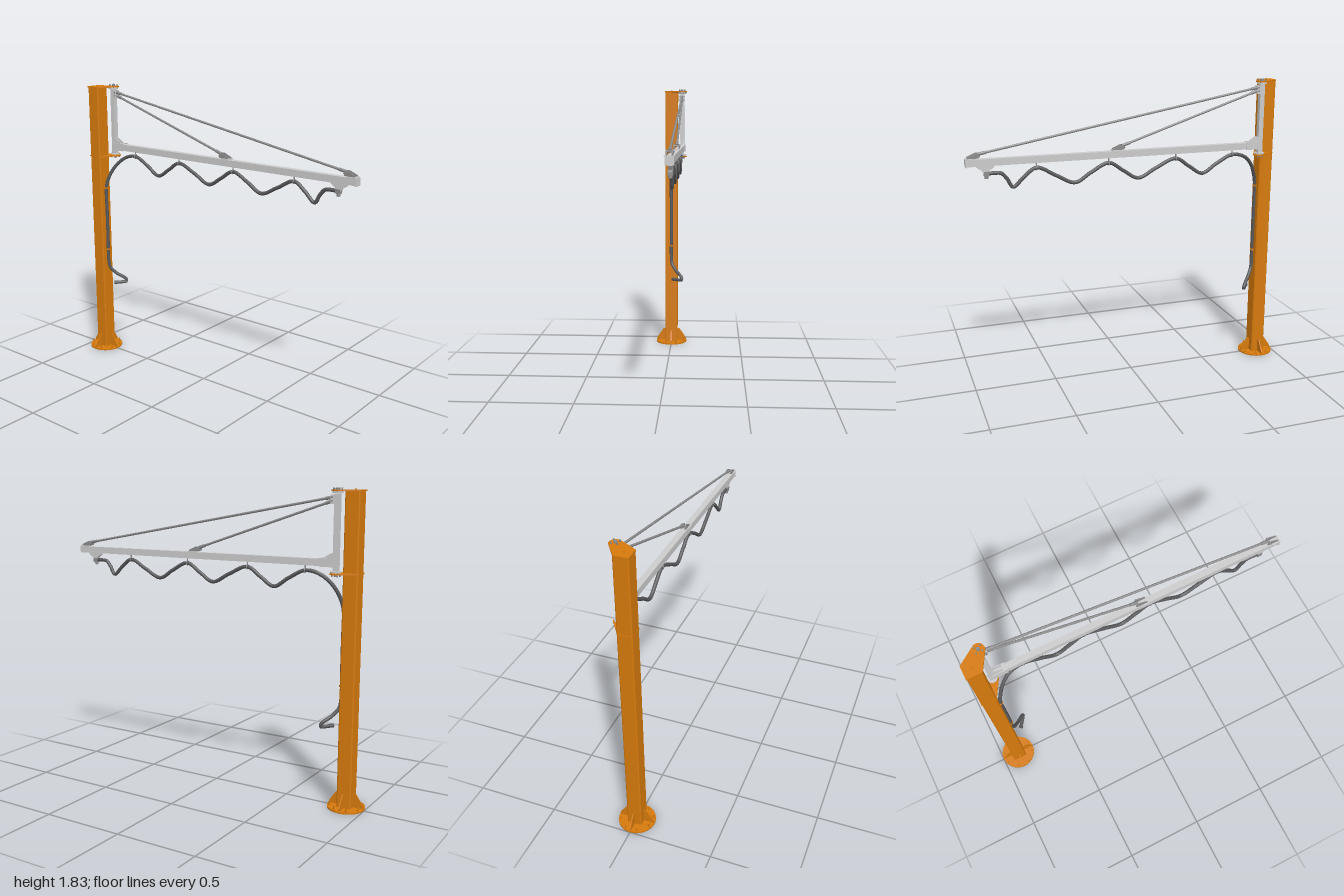
import * as THREE from 'three';

const mat = (color) => new THREE.MeshStandardMaterial({ color });
const orange = mat(0xd67a0c), grey = mat(0xcccccc), steel = mat(0x8c8c8c), rubber = mat(0x58585a);
const V = (x, y, z) => new THREE.Vector3(x, y, z);

const PX = -0.82, AZ = -0.076; // pivot axis x, boom plane z
const CX = -0.89;              // column centre x

export function createModel() {
  const model = new THREE.Group();

  const add = (name, geo, material, x = 0, y = 0, z = 0, parent = model) => {
    const m = new THREE.Mesh(geo, material);
    m.name = name;
    m.position.set(x, y, z);
    parent.add(m);
    return m;
  };
  const box = (name, w, h, d, material, x, y, z, parent) =>
    add(name, new THREE.BoxGeometry(w, h, d), material, x, y, z, parent);
  const cyl = (name, r, h, material, x, y, z, seg = 20, parent = model) =>
    add(name, new THREE.CylinderGeometry(r, r, h, seg), material, x, y, z, parent);
  const polygon = (pts) => new THREE.Shape(pts.map(([x, y]) => new THREE.Vector2(x, y)));
  const extrude = (shape, depth) =>
    new THREE.ExtrudeGeometry(shape, { depth, bevelEnabled: false, curveSegments: 16 });
  // flat profile in the x-y plane, centred on its thickness
  const fin = (pts, t) => extrude(polygon(pts), t).translate(0, 0, -t / 2);
  // round bar between two points
  const bar = (name, a, b, r, material, seg = 12) => {
    const m = cyl(name, r, a.distanceTo(b), material, 0, 0, 0, seg);
    m.position.copy(a).add(b).multiplyScalar(0.5);
    m.quaternion.setFromUnitVectors(V(0, 1, 0), b.clone().sub(a).normalize());
    return m;
  };

  // Column: square tube with slightly cut corners
  const h = 0.044, c = 0.006;
  const section = polygon([[-h, c - h], [c - h, -h], [h - c, -h], [h, c - h],
    [h, h - c], [h - c, h], [c - h, h], [-h, h - c]]);
  add('column', extrude(section, 1.805).rotateX(-Math.PI / 2), orange, CX, 0.008, 0);

  // Round base plate, stiffeners and anchor bolts
  cyl('basePlate', 0.11, 0.01, orange, CX, 0.005, 0, 40);
  for (let i = 0; i < 4; i++) {
    const geo = fin([[0.042, 0.01], [0.106, 0.01], [0.106, 0.025], [0.058, 0.095], [0.042, 0.095]], 0.006);
    add('baseStiffener', geo, orange, CX, 0, 0).rotation.y = i * Math.PI / 2;
  }
  for (let i = 0; i < 8; i++) {
    const a = (i + 0.5) * Math.PI / 4, x = CX + 0.097 * Math.cos(a), z = 0.097 * Math.sin(a);
    cyl('anchorNut', 0.007, 0.008, orange, x, 0.014, z, 6);
    cyl('anchorBolt', 0.0035, 0.024, orange, x, 0.02, z, 10);
  }

  // Pivot plates wrapping the column and reaching to the pivot axis
  const plate = new THREE.Shape();
  plate.moveTo(-0.938, -0.045);
  plate.lineTo(-0.848, -0.045);
  plate.lineTo(-0.79, 0.058);
  plate.absarc(PX, -AZ, 0.035, -0.53, 2.15, false);
  plate.lineTo(-0.938, 0.036);
  plate.closePath();
  const pivotHole = new THREE.Path();
  pivotHole.absarc(PX, -AZ, 0.01, 0, Math.PI * 2, true);
  plate.holes.push(pivotHole);
  for (const [y, s] of [[1.813, -1], [1.36, 1]]) {
    add('pivotPlate', extrude(plate, 0.008).rotateX(-Math.PI / 2), orange, 0, y, 0);
    const yc = y + 0.004;
    cyl('pivotFlange', 0.031, 0.008, grey, PX, yc + s * 0.011, AZ, 24);
    cyl('pivotPin', 0.01, 0.03, steel, PX, yc, AZ);
    for (let i = 0; i < 4; i++) {
      const a = (i + 0.5) * Math.PI / 2;
      cyl('pivotBolt', 0.0045, 0.03, steel, PX + 0.024 * Math.cos(a), yc, AZ + 0.024 * Math.sin(a), 6);
    }
  }
  cyl('capScrew', 0.006, 0.006, orange, CX, 1.823, 0, 12);

  // Swivelling mast
  box('mast', 0.03, 0.425, 0.03, grey, PX, 1.588, AZ);

  // Boom: C-section rail, open along the underside
  const rail = polygon([[-0.019, -0.02], [-0.007, -0.02], [-0.007, -0.016], [-0.015, -0.016],
    [-0.015, 0.016], [0.015, 0.016], [0.015, -0.016], [0.007, -0.016], [0.007, -0.02],
    [0.019, -0.02], [0.019, 0.02], [-0.019, 0.02]]);
  add('boom', extrude(rail, 1.79).rotateY(Math.PI / 2), grey, -0.8, 1.425, AZ);
  box('boomEndPlate', 0.008, 0.046, 0.046, grey, 0.996, 1.425, AZ);

  // Boom root: side cheeks and stiffener against the mast
  for (const s of [-1, 1]) {
    box('rootCheek', 0.095, 0.048, 0.005, grey, -0.772, 1.426, AZ + s * 0.0215);
    add('rootGusset', fin([[-0.81, 1.445], [-0.75, 1.445], [-0.76, 1.458], [-0.80, 1.48], [-0.81, 1.48]], 0.005),
      grey, 0, 0, AZ + s * 0.013);
  }

  // Tie rods with clevises at both ends
  for (const [yTop, xEnd] of [[1.78, 0.93], [1.76, 0.08]]) {
    const a = V(-0.79, yTop, AZ), b = V(xEnd, 1.472, AZ);
    const dir = b.clone().sub(a).normalize();
    bar('tieRod', a, b, 0.007, steel);
    bar('tieRodSocket', a, a.clone().addScaledVector(dir, 0.04), 0.0095, steel);
    bar('tieRodSocket', b, b.clone().addScaledVector(dir, -0.05), 0.0095, steel);
    for (const s of [-1, 1]) {
      add('boomClevis', fin([[xEnd - 0.015, 1.462], [xEnd - 0.005, 1.479], [xEnd + 0.01, 1.479],
        [xEnd + 0.058, 1.458], [xEnd + 0.058, 1.445], [xEnd - 0.005, 1.452]], 0.006),
      steel, 0, 0, AZ + s * 0.014);
    }
    box('clevisFoot', 0.05, 0.006, 0.054, grey, xEnd + 0.038, 1.448, AZ);
    bar('clevisPin', V(xEnd, 1.468, AZ - 0.022), V(xEnd, 1.468, AZ + 0.022), 0.005, steel);
    bar('mastPin', V(-0.793, yTop, AZ - 0.022), V(-0.793, yTop, AZ + 0.022), 0.005, steel);
  }
  for (const s of [-1, 1]) {
    box('mastClevis', 0.024, 0.05, 0.006, grey, -0.797, 1.769, AZ + s * 0.014);
  }

  // Supply hose: up the column, over to the boom, then in hanging waves
  const peaks = [-0.634, -0.26, 0.163, 0.596];
  const troughs = [-0.436, -0.02, 0.37, 0.735];
  const path = [
    V(-0.80, 0.483, -0.01), V(-0.772, 0.483, -0.05), V(-0.752, 0.486, -0.078), V(-0.757, 0.505, -0.076),
    V(-0.80, 0.545, -0.035), V(-0.832, 0.59, -0.006), V(-0.84, 0.64, 0), V(-0.84, 0.8, 0),
    V(-0.84, 1.0, 0), V(-0.84, 1.15, 0), V(-0.825, 1.22, -0.012), V(-0.785, 1.30, -0.04), V(-0.72, 1.358, -0.068),
  ];
  peaks.forEach((p, i) => {
    const t = troughs[i], next = peaks[i + 1] ?? 0.80;
    path.push(V(p, 1.375, AZ), V((p + t) / 2 + 0.005, 1.326, AZ), V(t, 1.272, AZ));
    path.push(V((t + next) / 2, 1.322, AZ));
  });
  path.push(V(0.80, 1.356, AZ), V(0.84, 1.36, AZ), V(0.885, 1.358, AZ));
  const hoseCurve = new THREE.CatmullRomCurve3(path);
  add('hose', new THREE.TubeGeometry(hoseCurve, 320, 0.011, 12), rubber);
  for (const [i, end] of [[0, 1], [1, -1]]) {
    const p = hoseCurve.getPointAt(i), d = hoseCurve.getTangentAt(i).multiplyScalar(end * 0.012);
    bar('hoseFerrule', p, p.clone().add(d), 0.0125, rubber);
  }

  // Clamps holding the hose to the column
  for (const y of [0.72, 1.15]) {
    cyl('hoseClamp', 0.0135, 0.01, orange, -0.84, y, 0);
    box('hoseClampTab', 0.014, 0.01, 0.034, orange, -0.848, y, 0);
  }

  // Trolleys carrying the hose under the boom
  for (const x of peaks) {
    box('trolley', 0.03, 0.012, 0.022, steel, x, 1.418, AZ);
    cyl('trolleyStem', 0.004, 0.035, steel, x, 1.398, AZ, 10);
    add('trolleyRing', new THREE.TorusGeometry(0.0125, 0.003, 8, 20).rotateY(Math.PI / 2), steel, x, 1.375, AZ);
  }

  // End trolley with the hose outlet
  add('outletBracket', fin([[0.84, 1.404], [0.935, 1.404], [0.935, 1.395], [0.905, 1.375],
    [0.90, 1.362], [0.875, 1.362], [0.87, 1.375], [0.84, 1.395]], 0.02), grey, 0, 0, AZ);
  box('outletBlock', 0.03, 0.026, 0.028, steel, 0.883, 1.359, AZ);
  cyl('outletNozzle', 0.011, 0.03, steel, 0.883, 1.345, AZ, 16);

  return model;
}
